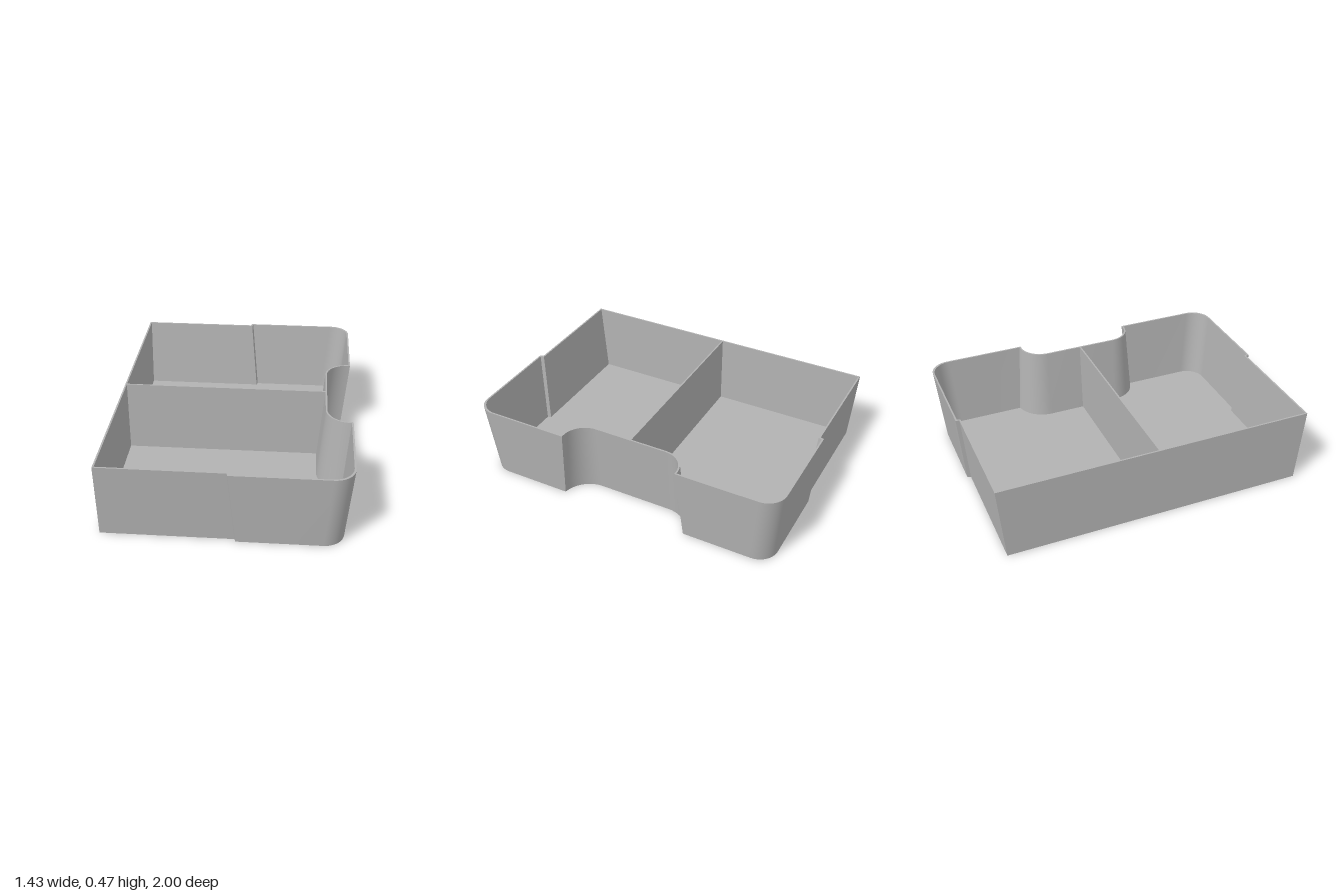
import * as THREE from 'three';
import { toCreasedNormals } from 'three/addons/utils/BufferGeometryUtils.js';

const HEIGHT = 0.467, TAPER = 0.039, WALL = 0.01, FLOOR = 0.01, SEG = 12;

// Plan outline as [x, z] points: d insets the tapered sides, b the upright back
function outline(d, b) {
  const half = [];
  const endX = 0.716 - d;
  // rounded inside corner of the notch
  const r = 0.137 + d;
  const stop = Math.acos(Math.min(0, (endX - 0.7) / r));
  for (let i = 0; i <= SEG; i++) {
    const a = Math.PI + (stop - Math.PI) * i / SEG;
    half.push([0.7 + r * Math.cos(a), 0.235 + r * Math.sin(a)]);
  }
  half.push([endX, half[SEG][1]]);
  // rounded outer corner
  const R = 0.12;
  for (let i = 0; i <= SEG; i++) {
    const a = Math.PI / 2 * i / SEG;
    half.push([endX - R + R * Math.cos(a), 1 - d - R + R * Math.sin(a)]);
  }
  // small step in the side, then the back corner
  half.push([0.025 + d, 1 - d], [0.018 + d, 0.978 - d], [-0.717 + b, 0.978 - d]);
  return half.concat(half.map(([x, z]) => [x, -z]).reverse());
}

// Joins closed loops of equal length into a skin
function loft(loops) {
  const pos = [];
  for (let k = 0; k < loops.length - 1; k++) {
    const [p, q] = [loops[k], loops[k + 1]];
    for (let i = 0; i < p.length; i++) {
      const j = (i + 1) % p.length;
      pos.push(...p[i], ...q[i], ...p[j], ...p[j], ...q[i], ...q[j]);
    }
  }
  const g = new THREE.BufferGeometry();
  g.setAttribute('position', new THREE.Float32BufferAttribute(pos, 3));
  g.computeVertexNormals();
  return toCreasedNormals(g, 0.5);
}

const atHeight = (pts, y) => pts.map(([x, z]) => [x, y, z]);

// Flat horizontal face filling an outline
function plate(pts, y, up) {
  const g = new THREE.ShapeGeometry(new THREE.Shape(pts.map(([x, z]) => new THREE.Vector2(x, z))));
  g.rotateX(up ? -Math.PI / 2 : Math.PI / 2);
  return g.translate(0, y, 0);
}

export function createModel() {
  const group = new THREE.Group();
  const grey = new THREE.MeshStandardMaterial({ color: 0xb2b2b2 });
  grey.name = 'grey plastic';
  const add = (name, geometry) => {
    const mesh = new THREE.Mesh(geometry, grey);
    mesh.name = name;
    group.add(mesh);
  };

  const outerBottom = outline(TAPER, 0);
  const innerBottom = outline(TAPER + WALL, WALL);

  // Thin tapered wall: outside, rim and inside
  add('trayWall', loft([
    atHeight(outerBottom, 0),
    atHeight(outline(0, 0), HEIGHT),
    atHeight(outline(WALL, WALL), HEIGHT),
    atHeight(innerBottom, FLOOR),
  ]));
  add('trayFloor', plate(innerBottom, FLOOR, true));
  add('trayUnderside', plate(outerBottom, 0, false));

  // Upright divider from the back wall to the notch wall
  const side = new THREE.Shape([
    new THREE.Vector2(-0.708, FLOOR),
    new THREE.Vector2(0.517, FLOOR),
    new THREE.Vector2(0.555, HEIGHT),
    new THREE.Vector2(-0.708, HEIGHT),
  ]);
  const divider = new THREE.ExtrudeGeometry(side, { depth: 0.01, bevelEnabled: false });
  add('divider', divider.translate(0, 0, -0.005));

  return group;
}
